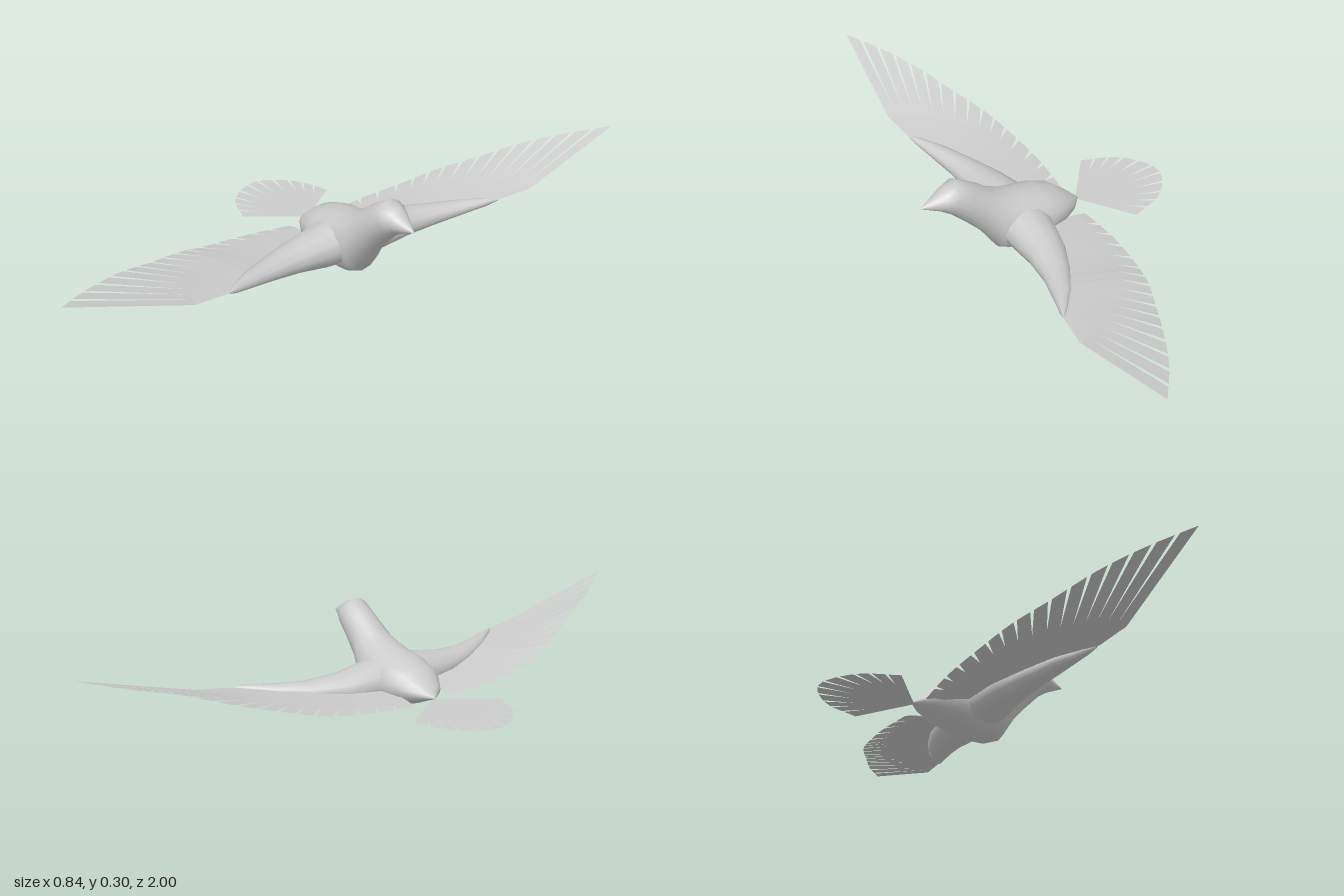
import * as THREE from 'three';

const solidMat = new THREE.MeshStandardMaterial({ color: 0xcccccc });
const thinMat = new THREE.MeshStandardMaterial({ color: 0xcccccc, side: THREE.DoubleSide });

function makeMesh(name, positions, index, material) {
  const geo = new THREE.BufferGeometry();
  geo.setAttribute('position', new THREE.Float32BufferAttribute(positions, 3));
  geo.setIndex(index);
  geo.computeVertexNormals();
  const mesh = new THREE.Mesh(geo, material);
  mesh.name = name;
  return mesh;
}

// Smooth skin over a row of sections; point(section, sin, cos) gives [x, y, z]
function loft(name, sections, sides, point) {
  const pos = [], idx = [];
  sections.forEach((s, i) => {
    for (let j = 0; j < sides; j++) {
      const a = (j / sides) * Math.PI * 2;
      pos.push(...point(s, Math.sin(a), Math.cos(a)));
      if (i === sections.length - 1) continue;
      const k = (j + 1) % sides;
      const p = i * sides + j, q = i * sides + k;
      idx.push(p, q, p + sides, q, q + sides, p + sides);
    }
  });
  return makeMesh(name, pos, idx, solidMat);
}

// Thin sheet: solid between lead and base curves, split into feathers from base to tip
function featherSheet(name, lead, base, tip, count, gap, side = 1) {
  const [L, B, T] = [lead, base, tip].map((pts) =>
    new THREE.CatmullRomCurve3(pts.map((p) => new THREE.Vector3(p[0], p[1], p[2] * side))));
  const pos = [], idx = [];
  for (let i = 0; i < count; i++) {
    const t0 = i / count, t1 = (i + 1) / count;
    const cut = i > 0 ? gap / count : 0;
    const n = pos.length / 3;
    for (const p of [L.getPoint(t0), L.getPoint(t1), B.getPoint(t0), B.getPoint(t1),
      T.getPoint(t0 + cut), T.getPoint(t1)]) pos.push(p.x, p.y, p.z);
    for (const k of [n, n + 2]) {
      // Keep the upper face in front on both sides
      if (side > 0) idx.push(k, k + 2, k + 1, k + 1, k + 2, k + 3);
      else idx.push(k, k + 1, k + 2, k + 1, k + 3, k + 2);
    }
  }
  return makeMesh(name, pos, idx, thinMat);
}

export function createModel() {
  const bird = new THREE.Group();
  bird.name = 'bird';

  // Body, neck, head and beak: top x, top y, bottom x, bottom y, half width
  const bodySections = [
    [-0.12, 0.08, -0.12, 0.08, 0],
    [-0.08, 0.115, -0.08, 0.062, 0.05],
    [-0.03, 0.155, -0.03, 0.04, 0.083],
    [0.03, 0.177, 0.03, 0.018, 0.1],
    [0.1, 0.19, 0.09, 0.003, 0.098],
    [0.15, 0.207, 0.145, 0.001, 0.09],
    [0.19, 0.228, 0.18, 0.013, 0.078],
    [0.225, 0.255, 0.23, 0.09, 0.064],
    [0.26, 0.277, 0.28, 0.145, 0.058],
    [0.3, 0.3, 0.33, 0.195, 0.054],
    [0.335, 0.287, 0.36, 0.215, 0.038],
    [0.42, 0.24, 0.42, 0.24, 0],
  ];
  bird.add(loft('body', bodySections, 16, ([tx, ty, bx, by, w], s, c) => [
    (tx + bx) / 2 + (tx - bx) / 2 * c, (ty + by) / 2 + (ty - by) / 2 * c, w * s]));

  // Wing arm: z, rear x, front x, bottom y, top y
  const armSections = [
    [0.04, 0.02, 0.185, 0.03, 0.165],
    [0.1, 0.025, 0.178, 0.03, 0.157],
    [0.2, 0.045, 0.17, 0.045, 0.137],
    [0.3, 0.085, 0.178, 0.062, 0.128],
    [0.4, 0.14, 0.203, 0.087, 0.13],
    [0.47, 0.195, 0.222, 0.108, 0.132],
    [0.5, 0.222, 0.228, 0.122, 0.128],
  ];
  // Wing feather curves, from the root to the wing tip
  const wingLead = [[0.13, 0.09, 0.07], [0.14, 0.095, 0.17], [0.155, 0.103, 0.28], [0.175, 0.11, 0.36],
    [0.205, 0.117, 0.43], [0.226, 0.124, 0.5], [0.236, 0.131, 0.56], [0.245, 0.137, 0.62]];
  const wingBase = [[-0.07, 0.075, 0.07], [-0.07, 0.085, 0.2], [-0.04, 0.1, 0.34], [0, 0.12, 0.43],
    [0.06, 0.13, 0.51], [0.12, 0.138, 0.57], [0.18, 0.141, 0.61], [0.245, 0.137, 0.62]];
  const wingTip = [[-0.105, 0.067, 0.07], [-0.11, 0.08, 0.22], [-0.09, 0.1, 0.38], [-0.055, 0.13, 0.5],
    [0, 0.16, 0.62], [0.065, 0.2, 0.75], [0.135, 0.225, 0.88], [0.222, 0.25, 1.0]];

  for (const side of [1, -1]) {
    const wing = new THREE.Group();
    wing.name = side > 0 ? 'leftWing' : 'rightWing';
    wing.add(loft('wingArm', armSections, 12, ([z, x0, x1, y0, y1], s, c) => [
      (x0 + x1) / 2 - side * (x1 - x0) / 2 * s, (y0 + y1) / 2 + (y1 - y0) / 2 * c, side * z]));
    wing.add(featherSheet('wingFeathers', wingLead, wingBase, wingTip, 16, 0.22, side));
    bird.add(wing);
  }

  // Flat tail fan
  const y = 0.077;
  bird.add(featherSheet('tailFeathers',
    [[-0.115, y, -0.008], [-0.115, y, 0], [-0.115, y, 0.008]],
    [[-0.19, y, -0.11], [-0.27, y, -0.08], [-0.31, y, 0], [-0.27, y, 0.08], [-0.19, y, 0.11]],
    [[-0.23, y, -0.165], [-0.35, y, -0.115], [-0.42, y, 0], [-0.35, y, 0.115], [-0.23, y, 0.165]],
    11, 0.2));
  return bird;
}
